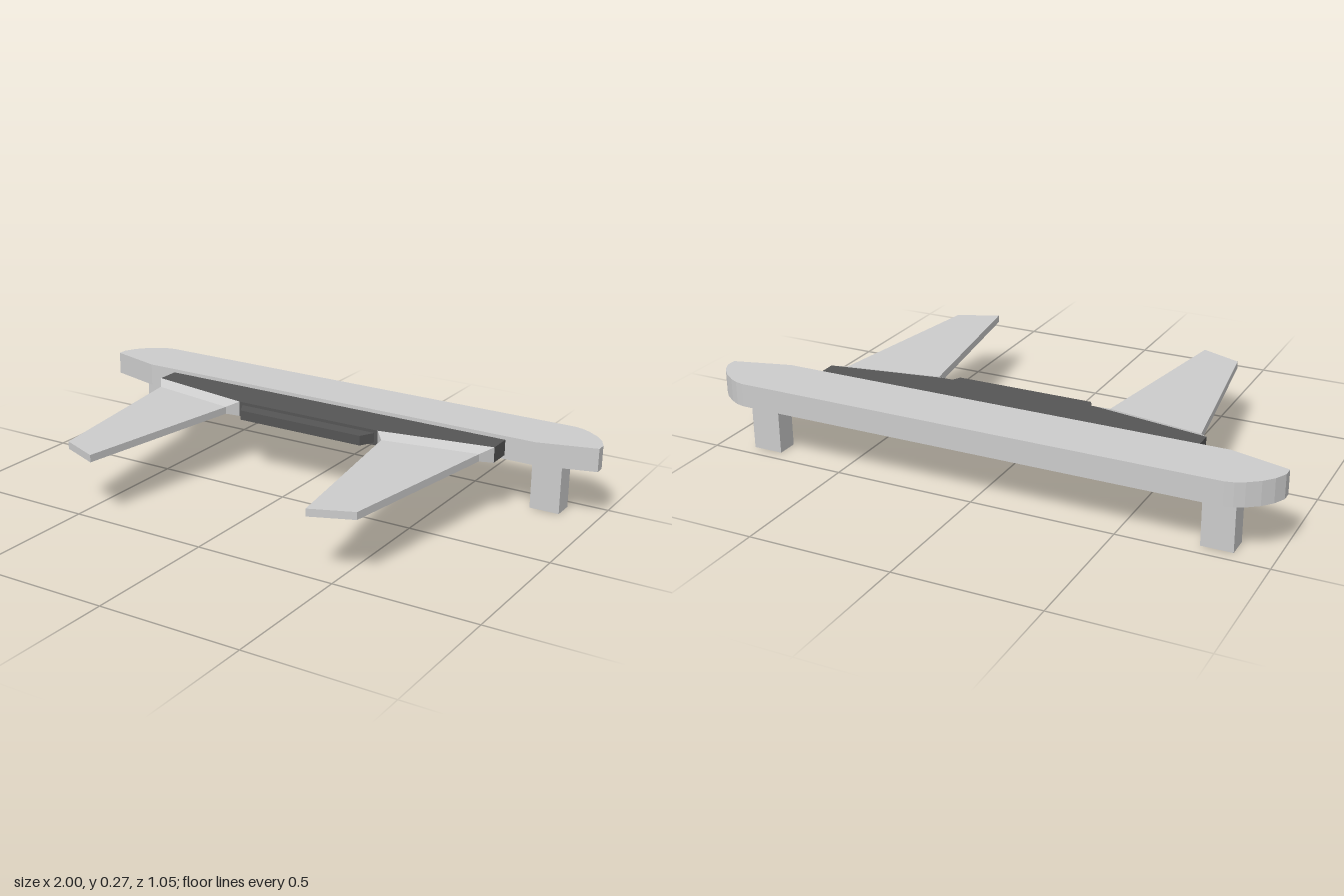
import * as THREE from 'three';
import { ConvexGeometry } from 'three/addons/geometries/ConvexGeometry.js';

const grey = new THREE.MeshStandardMaterial({ color: 0xcccccc, flatShading: true });
const dark = new THREE.MeshStandardMaterial({ color: 0x555555, flatShading: true });

// Mirror half an outline of [x, z] points (x > 0) into a closed symmetric one
const symmetric = (half) => [...half, ...half.map(([x, z]) => [-x, z]).reverse()];

// Flat slab from an [x, z] outline between two heights
function slab(name, outline, y0, y1, material) {
  const shape = new THREE.Shape(outline.map(([x, z]) => new THREE.Vector2(x, z)));
  const geometry = new THREE.ExtrudeGeometry(shape, { depth: y1 - y0, bevelEnabled: false });
  geometry.rotateX(Math.PI / 2).translate(0, y1, 0);
  const mesh = new THREE.Mesh(geometry, material);
  mesh.name = name;
  return mesh;
}

export function createModel() {
  const model = new THREE.Group();
  model.name = 'model';

  // Long crossbar with rounded rear corners and clipped front corners
  model.add(slab('crossbar', symmetric([
    [0.8, -0.31], [1, -0.365], [1, -0.4], [0.98, -0.44], [0.95, -0.474],
    [0.91, -0.503], [0.88, -0.518], [0.85, -0.525],
  ]), 0.185, 0.267, grey));

  // Dark mount in front of the bar, and its thinner centre lip
  model.add(slab('mount', symmetric([[0.285, -0.157], [0.69, -0.225], [0.69, -0.31]]), 0.199, 0.254, dark));
  model.add(slab('centreLip', symmetric([[0.245, -0.105], [0.272, -0.157], [0.272, -0.18]]), 0.208, 0.243, dark));

  for (const side of [1, -1]) {
    const label = side > 0 ? 'left' : 'right';

    // Square leg under the bar
    const leg = new THREE.Mesh(new THREE.BoxGeometry(0.107, 0.186, 0.076), grey);
    leg.position.set(side * 0.817, 0.093, -0.416);
    leg.name = label + 'Leg';
    model.add(leg);

    // Root tapering from the mount's thickness to the blade's
    const section = (ends, heights) => ends.flatMap(([x, z]) =>
      heights.map((y) => new THREE.Vector3(side * x, y, z)));
    const root = new THREE.Mesh(new ConvexGeometry([
      ...section([[0.285, -0.157], [0.69, -0.225]], [0.199, 0.254]),
      ...section([[0.32, -0.12], [0.657, -0.178]], [0.212, 0.238]),
    ]), grey);
    root.name = label + 'BladeRoot';
    model.add(root);

    // Thin tapered blade with a slanted tip
    model.add(slab(label + 'Blade',
      [[0.32, -0.12], [0.657, -0.178], [0.562, 0.462], [0.418, 0.522]].map(([x, z]) => [side * x, z]),
      0.212, 0.238, grey));
  }
  return model;
}
